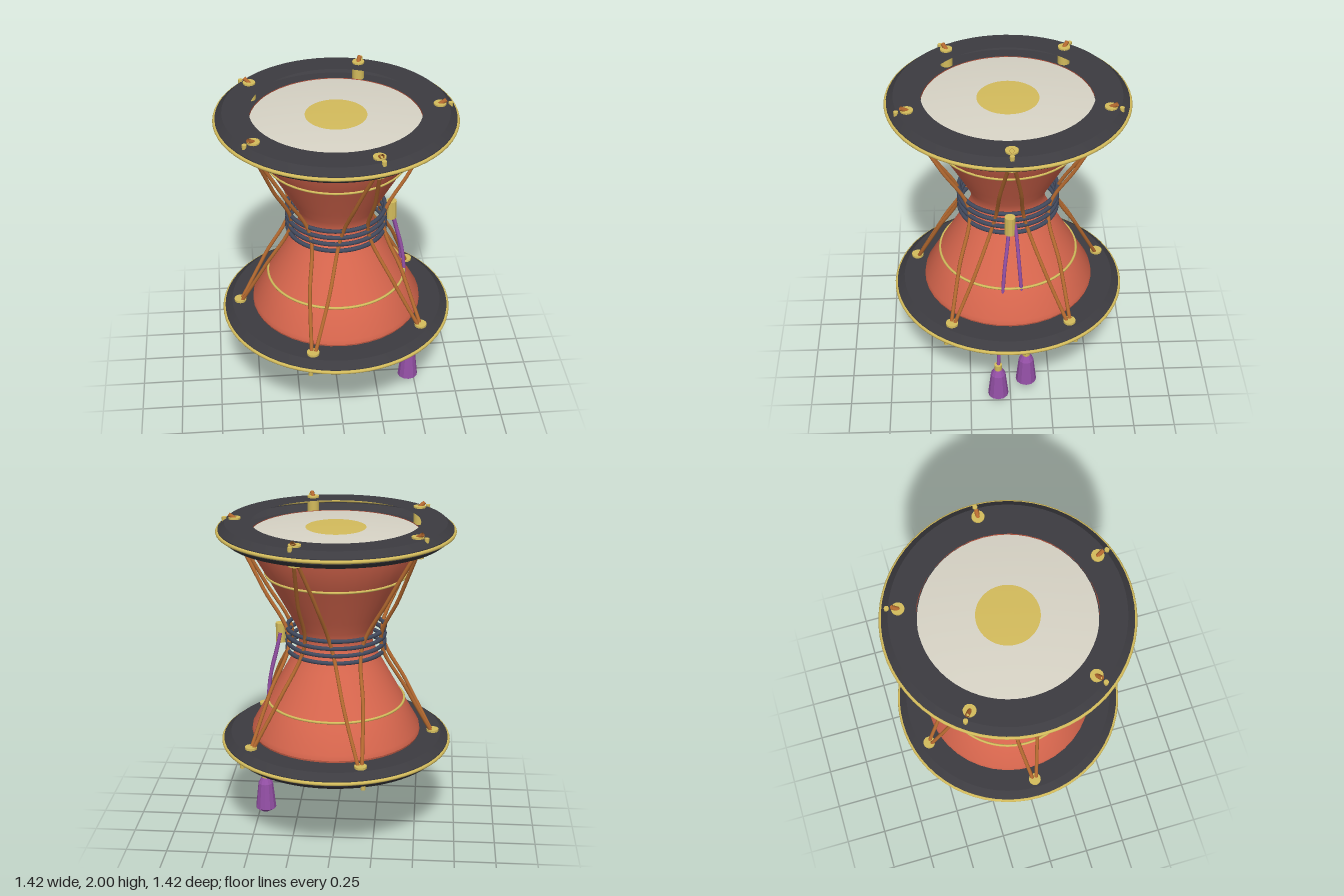
import * as THREE from 'three';
import { toCreasedNormals } from 'three/addons/utils/BufferGeometryUtils.js';

const MID = 1.2525; // height of the waist
const RIM = 0.6625; // rim distance from the waist
const STEP = Math.PI * 2 / 5;

const mat = (color) => new THREE.MeshStandardMaterial({ color, side: THREE.DoubleSide });
const red = mat(0xd9674e), dark = mat(0x3c3b40), gold = mat(0xd4bc5c), skin = mat(0xd8d4c6);
const navy = mat(0x424a5e), rope = mat(0xb56a30), purple = mat(0x9450a6);

const v = (x, y, z) => new THREE.Vector3(x, y, z);
const polar = (r, a, y) => v(r * Math.cos(a), y, r * Math.sin(a));

function add(parent, name, geometry, material, x = 0, y = 0, z = 0) {
  const mesh = new THREE.Mesh(geometry, material);
  mesh.name = name;
  mesh.position.set(x, y, z);
  parent.add(mesh);
  return mesh;
}

function lathe(points, segments = 48, crease = 0.5) {
  const g = new THREE.LatheGeometry(points.map(([r, y]) => new THREE.Vector2(r, y)), segments);
  return toCreasedNormals(g, crease);
}

// Horizontal ring
const ring = (r, tube) => new THREE.TorusGeometry(r, tube, 8, 64).rotateX(Math.PI / 2);

// Shallow dome from radius r at y0 up to y1 in the middle
function dome(r, y0, y1) {
  const pts = [];
  for (let i = 0; i <= 6; i++) {
    const t = 1 - i / 6;
    pts.push([r * t, y1 - (y1 - y0) * t * t]);
  }
  return lathe(pts);
}

const tube = (points, r, n = 24) =>
  new THREE.TubeGeometry(new THREE.CatmullRomCurve3(points), n, r, 8);

// Rim, skin and eyelets of one end, with the outside facing +y
function drumEnd(name, offset, knots) {
  const end = new THREE.Group();
  end.name = name;
  // The rim is a hollow ring, open on its inner side
  add(end, 'rim', lathe([[0.5, -0.05], [0.65, -0.05], [0.695, -0.015],
    [0.695, 0.015], [0.655, 0.05], [0.5, 0.05]], 64, 0.3), dark);
  add(end, 'rimTrim', ring(0.698, 0.011), gold);
  add(end, 'skin', dome(0.5, -0.015, 0.012), skin);
  add(end, 'skinPatch', dome(0.18, 0.013, 0.016), gold);
  for (let k = 0; k < 5; k++) {
    const a = k * STEP + offset;
    const p = polar(0.6, a, -0.002);
    add(end, 'eyelet', new THREE.CylinderGeometry(0.037, 0.037, 0.124, 16), gold, p.x, p.y, p.z);
    const s = polar(0.662, a, 0.048);
    add(end, 'stud', new THREE.CylinderGeometry(0.014, 0.014, 0.026, 10), gold, s.x, s.y, s.z);
    if (knots) {
      const path = new THREE.LineCurve3(polar(0.595, a, 0.05), polar(0.635, a, 0.076));
      add(end, 'ropeEnd', new THREE.TubeGeometry(path, 1, 0.013, 8), rope);
    }
  }
  return end;
}

// Hanging cord with a tassel; base is the lowest height of the tassel
function tassel(points, base) {
  const g = new THREE.Group();
  g.name = 'tassel';
  const end = points[points.length - 1];
  add(g, 'tasselCord', tube(points, 0.011, 32), purple);
  add(g, 'tasselCollar', new THREE.CylinderGeometry(0.024, 0.024, 0.04, 12), gold, end.x, base + 0.25, end.z);
  add(g, 'tasselBody', lathe([[0, 0], [0.022, 0.002], [0.064, 0.03], [0.046, 0.195],
    [0.026, 0.232], [0, 0.232]], 12, 0.3), purple, end.x, base, end.z);
  return g;
}

export function createModel() {
  const drum = new THREE.Group();
  drum.name = 'hourglassDrum';

  // Hourglass body, mirrored about the waist
  const half = [[0.22, 0], [0.226, 0.04], [0.245, 0.085], [0.285, 0.16], [0.34, 0.26],
    [0.418, 0.4], [0.515, 0.57], [0.52, 0.6], [0.505, 0.65]];
  const lower = half.slice(1).reverse().map(([r, y]) => [r, -y]);
  add(drum, 'body', lathe([...lower, ...half], 40, 0.4), red, 0, MID, 0);

  // Two ends
  const top = drumEnd('topEnd', 0, true);
  top.position.y = MID + RIM;
  const bottom = drumEnd('bottomEnd', STEP / 2, false);
  bottom.position.y = MID - RIM;
  bottom.rotation.x = Math.PI;
  drum.add(top, bottom);

  // Body bands and waist rings
  for (const s of [-1, 1]) add(drum, 'bodyBand', ring(0.42, 0.008), gold, 0, MID + s * 0.4, 0);
  for (let i = 0; i < 4; i++) {
    add(drum, 'waistRing', ring(0.295, 0.013), navy, 0, 1.18 + i * 0.0453, 0);
  }

  // Zigzag lacing, drawn in at the waist
  for (let k = 0; k < 5; k++) {
    for (const s of [-1, 1]) {
      const a = k * STEP;
      const mid = a + s * STEP / 4;
      add(drum, 'lacing', tube([
        polar(0.59, a + s * 0.02, 1.862),
        polar(0.435, a + s * 0.135, 1.56),
        polar(0.29, mid, MID),
        polar(0.435, a + s * (STEP / 2 - 0.135), 0.945),
        polar(0.59, a + s * (STEP / 2 - 0.02), 0.643),
      ], 0.0115, 32), rope);
    }
  }

  // Clasp and tassels on the left side
  const clasp = new THREE.CylinderGeometry(0.032, 0.032, 0.12, 10);
  add(drum, 'clasp', toCreasedNormals(clasp, 0.4), gold, 0.335, 1.265, 0);
  drum.add(tassel([v(0.335, 1.27, 0.005), v(0.365, 1.15, 0.015), v(0.405, 0.98, 0.035),
    v(0.43, 0.65, 0.055), v(0.46, 0.24, 0.077)], 0.005));
  drum.add(tassel([v(0.335, 1.27, -0.03), v(0.36, 1.15, -0.042), v(0.4, 0.98, -0.055),
    v(0.42, 0.65, -0.078), v(0.435, 0.34, -0.097)], 0.1));

  return drum;
}
